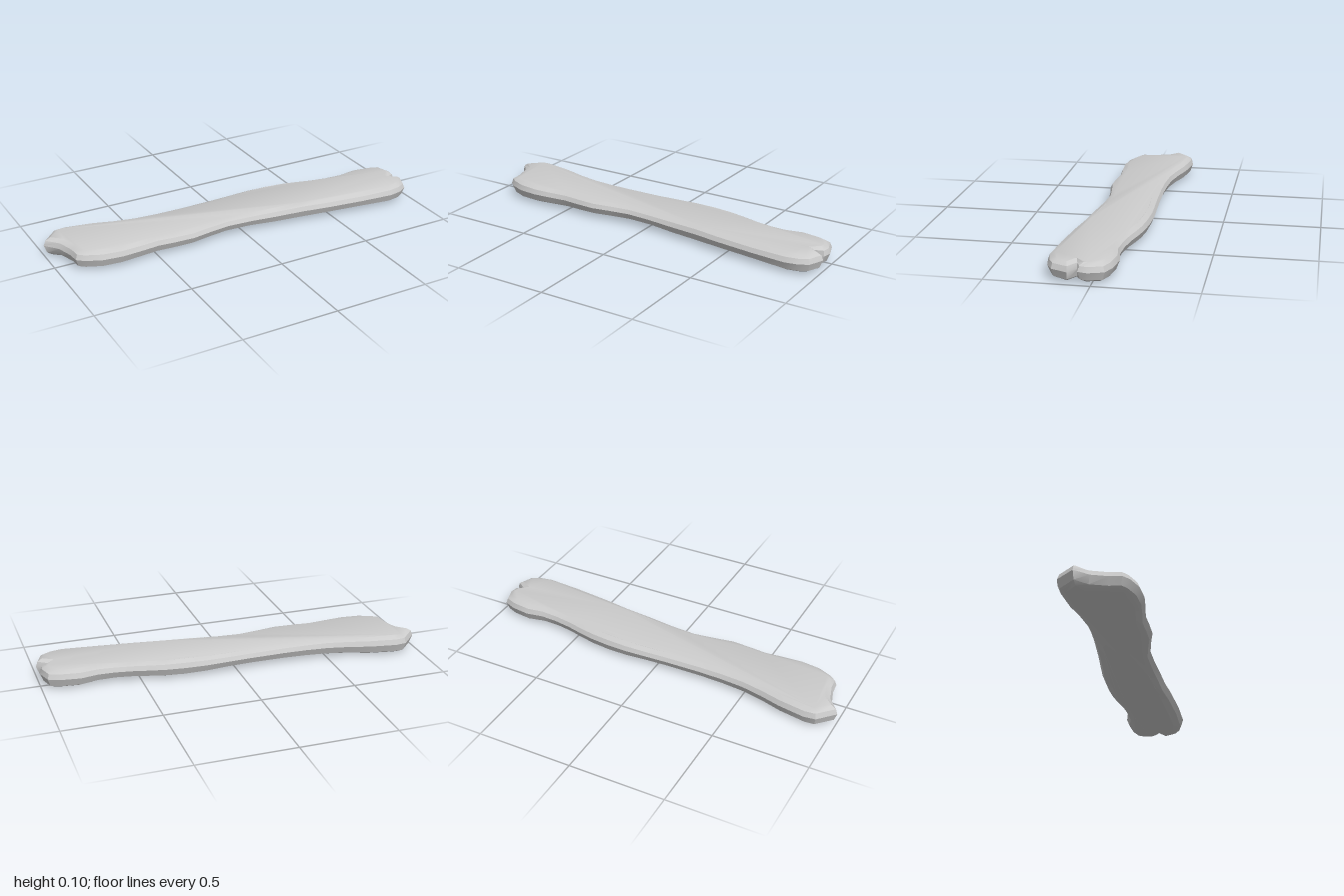
import * as THREE from 'three';
import { toCreasedNormals } from 'three/addons/utils/BufferGeometryUtils.js';

// Plan outline (x, z): along the back edge, round the split end, back along the front edge
const outline = [
  [-1, -0.14], [-0.92, -0.225], [-0.86, -0.233], [-0.72, -0.21], [-0.61, -0.18], [-0.5, -0.157],
  [-0.38, -0.148], [-0.26, -0.146], [-0.07, -0.15], [0.06, -0.156], [0.17, -0.16], [0.28, -0.155],
  [0.38, -0.144], [0.46, -0.127], [0.54, -0.107], [0.63, -0.092], [0.72, -0.086], [0.81, -0.1],
  [0.91, -0.086], [0.97, -0.06], [0.995, 0.015], [0.985, 0.062], [0.945, 0.068], [1, 0.107],
  [0.968, 0.187], [0.92, 0.215], [0.85, 0.228], [0.67, 0.216], [0.46, 0.19], [0.33, 0.168],
  [0.17, 0.152], [0.03, 0.135], [-0.1, 0.126], [-0.21, 0.14], [-0.31, 0.156], [-0.41, 0.15],
  [-0.5, 0.141], [-0.6, 0.15], [-0.7, 0.155], [-0.8, 0.142], [-0.88, 0.107], [-0.915, 0.075],
  [-0.92, 0.015], [-0.945, -0.07],
].map(([x, z]) => new THREE.Vector2(x, z));

// Edge profile from underside to top: [height fraction, inset from the outline]
const profile = [[0, 0.045], [0.16, 0.016], [0.58, 0], [0.85, 0.01], [1, 0.036]];

// Gentle undulation of the two broad faces: [x, bottom y, top y]
const waves = [
  [-1, 0.004, 0.102], [-0.8, 0.005, 0.103], [-0.55, 0.012, 0.1], [-0.2, 0.019, 0.098],
  [0, 0.022, 0.097], [0.28, 0.012, 0.102], [0.6, 0.017, 0.099], [0.85, 0.006, 0.103], [1, 0.006, 0.102],
];

function faceHeight(x, column) {
  let i = 0;
  while (i < waves.length - 2 && x > waves[i + 1][0]) i++;
  const t = THREE.MathUtils.smoothstep(x, waves[i][0], waves[i + 1][0]);
  return THREE.MathUtils.lerp(waves[i][column], waves[i + 1][column], t);
}

function plankGeometry() {
  const n = outline.length;
  const positions = [];
  const index = [];
  const rings = profile.map(([h, inset]) => outline.map((p, i) => {
    const t = outline[(i + 1) % n].clone().sub(outline[(i + n - 1) % n]).normalize();
    return { q: new THREE.Vector2(p.x - t.y * inset, p.y + t.x * inset), h };
  }));
  for (const ring of rings) {
    for (const { q, h } of ring) {
      const low = faceHeight(q.x, 1) + 0.012 * q.y;
      positions.push(q.x, THREE.MathUtils.lerp(low, faceHeight(q.x, 2), h), q.y);
    }
  }

  // Rounded sides
  for (let k = 0; k < rings.length - 1; k++) {
    for (let i = 0; i < n; i++) {
      const j = (i + 1) % n;
      const a = k * n + i, b = k * n + j, c = b + n, d = a + n;
      index.push(a, d, b, b, d, c);
    }
  }

  // Top and underside
  const cap = (k, up) => {
    const pts = rings[k].map((v) => v.q);
    for (const [a, b, c] of THREE.ShapeUtils.triangulateShape(pts, [])) {
      const u = pts[b].clone().sub(pts[a]), v = pts[c].clone().sub(pts[a]);
      const facesUp = u.y * v.x - u.x * v.y > 0;
      const tri = facesUp === up ? [a, b, c] : [a, c, b];
      index.push(...tri.map((m) => m + k * n));
    }
  };
  cap(0, false);
  cap(rings.length - 1, true);

  const geometry = new THREE.BufferGeometry();
  geometry.setAttribute('position', new THREE.Float32BufferAttribute(positions, 3));
  geometry.setIndex(index);
  return toCreasedNormals(geometry, 0.6);
}

export function createModel() {
  const group = new THREE.Group();
  group.name = 'woodenPlank';
  const plank = new THREE.Mesh(plankGeometry(), new THREE.MeshStandardMaterial({ color: 0xcccccc }));
  plank.name = 'plank';
  group.add(plank);
  return group;
}
